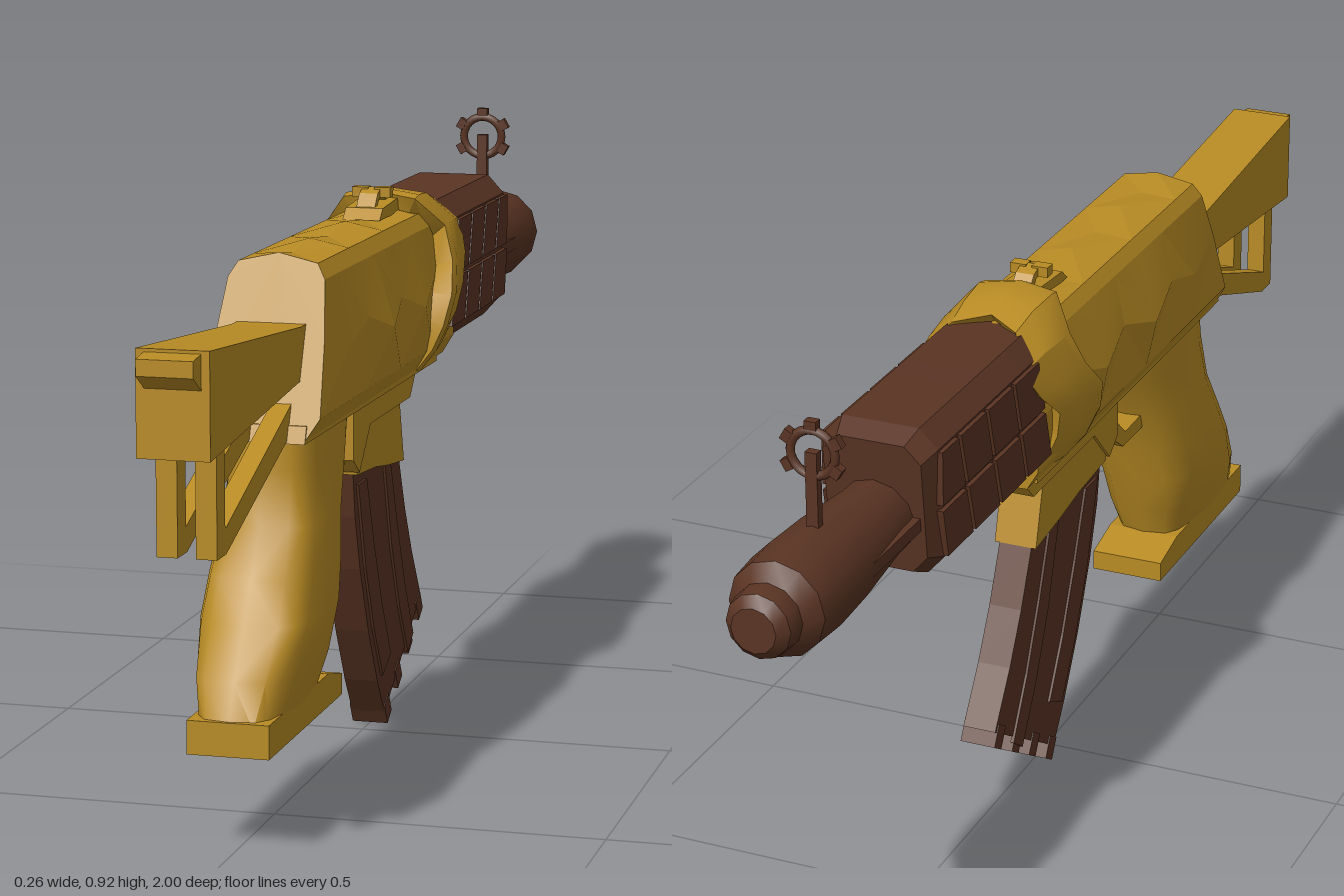
import * as THREE from 'three';
import { toCreasedNormals } from 'three/addons/utils/BufferGeometryUtils.js';

// Closed skin through rings of [x, y, z] points, capped at both ends
function loft(rings, crease) {
  const n = rings[0].length, pos = rings.flat(2), idx = [];
  for (let i = 0; i < rings.length - 1; i++) {
    for (let j = 0; j < n; j++) {
      const a = i * n + j, b = i * n + (j + 1) % n, c = a + n, d = b + n;
      // alternate the diagonals for a faceted zigzag
      if (i % 2) idx.push(a, b, d, a, d, c);
      else idx.push(a, b, c, b, d, c);
    }
  }
  const last = (rings.length - 1) * n;
  for (let j = 1; j < n - 1; j++) idx.push(0, j + 1, j, last, last + j, last + j + 1);
  // turn the faces outward using the signed volume
  const p = (i) => new THREE.Vector3().fromArray(pos, i * 3);
  let volume = 0;
  for (let k = 0; k < idx.length; k += 3) volume += p(idx[k]).dot(p(idx[k + 1]).cross(p(idx[k + 2])));
  if (volume < 0) idx.reverse();
  const g = new THREE.BufferGeometry();
  g.setAttribute('position', new THREE.Float32BufferAttribute(pos, 3));
  g.setIndex(idx);
  return toCreasedNormals(g, crease);
}

// Side outline of [z, y] points, extruded across x
function sideGeo(pts, width, x = 0) {
  const shape = new THREE.Shape(pts.map(([z, y]) => new THREE.Vector2(z, y)));
  const g = new THREE.ExtrudeGeometry(shape, { depth: width, bevelEnabled: false });
  return g.rotateY(-Math.PI / 2).translate(x + width / 2, 0, 0);
}

// Half section (x >= 0, top to bottom, both ends on x = 0) mirrored to a full ring
const mirrorRing = (half) => [...half, ...half.slice(1, -1).reverse().map(([x, y, z]) => [-x, y, z])];

export function createModel() {
  const model = new THREE.Group();
  const gold = new THREE.MeshStandardMaterial({ color: 0xb88b24 });
  gold.name = 'gold';
  const brown = new THREE.MeshStandardMaterial({ color: 0x5a3423 });
  brown.name = 'brown';
  const add = (name, geo, mat) => {
    const m = new THREE.Mesh(geo, mat);
    m.name = name;
    model.add(m);
    return m;
  };
  const box = (name, w, h, d, x, y, z, mat) =>
    add(name, new THREE.BoxGeometry(w, h, d).translate(x, y, z), mat);

  // Receiver: wavy faceted body with a slanted rear
  const stations = [[0.57, 0.082], [0.42, 0.09], [0.3, 0.092], [0.2, 0.105], [0.1, 0.09], [0, 0.103], [-0.1, 0.09], [-0.24, 0.09]];
  add('receiver', loft(stations.map(([z, w], i) => {
    const half = [[0, i % 2 ? 0.825 : 0.835], [0.06, 0.822], [0.073, 0.8], [w, i % 2 ? 0.69 : 0.72],
      [0.088, 0.61], [0.07, 0.58], [0, 0.578]];
    const lean = i === 0 ? 0.42 : i === 1 ? 0.12 : 0;
    return mirrorRing(half.map(([x, y]) => [x, y, z - lean * (y - 0.58)]));
  }), 0.1), gold);
  add('receiverLip', sideGeo([[0.575, 0.575], [0.565, 0.6], [-0.2, 0.595], [-0.2, 0.572]], 0.14), gold);

  // Collar: flared shell gripping the handguard, ragged front edge
  const collar = [ // x, y, rear z, front z
    [0, 0.862, -0.1, -0.21], [0.06, 0.852, -0.1, -0.24], [0.1, 0.805, -0.14, -0.29],
    [0.118, 0.75, -0.12, -0.26], [0.128, 0.7, -0.075, -0.21], [0.118, 0.65, -0.06, -0.2],
    [0.1, 0.61, -0.06, -0.2], [0.07, 0.572, -0.07, -0.2], [0, 0.568, -0.09, -0.19]];
  const collarRing = (sx, sy, mix, off) => mirrorRing(collar.map(([x, y, r, f]) =>
    [x * sx, 0.7 + (y - 0.7) * sy, r + (f - r) * mix + off]));
  add('collar', loft([collarRing(0.7, 0.75, 0, -0.01), collarRing(0.98, 0.97, 0, 0), collarRing(1, 1, 0.15, 0),
    collarRing(0.93, 0.97, 0.6, 0), collarRing(0.87, 0.88, 1, 0), collarRing(0.7, 0.75, 1, 0.02)], 0.5), gold);

  // Handguard core with chamfered nose
  const guardRing = (z, s) => mirrorRing([[0, 0.83], [0.06, 0.83], [0.088, 0.8], [0.088, 0.625], [0.06, 0.593], [0, 0.593]]
    .map(([x, y]) => [x * s, 0.71 + (y - 0.71) * s, z - (y - 0.71) * 0.1 * (z < -0.5 ? 1 : 0)]));
  add('handguard', loft([guardRing(-0.17, 0.96), guardRing(-0.25, 1), guardRing(-0.585, 1), guardRing(-0.62, 0.87)], 0.3), brown);

  // Slanted raised pads on both sides of the handguard
  for (const s of [-1, 1]) {
    for (let c = 0; c < 4; c++) {
      for (const [y0, y1] of [[0.628, 0.705], [0.714, 0.797]]) {
        const z = (y, k) => -0.2 - (c + k) * 0.096 - (y - 0.628) * 0.28;
        const pad = [[z(y0, 0.04), y0], [z(y0, 0.95), y0], [z(y1, 0.95), y1], [z(y1, 0.04), y1]]
          .map(([a, b]) => [Math.max(a, -0.595), b]);
        add('handguardPad', sideGeo(pad, 0.012, s * 0.089), brown);
      }
    }
  }

  // Barrel and muzzle
  const barrel = [[0, 0.58], [0.06, 0.58], [0.062, 0.66], [0.073, 0.78], [0.077, 0.87], [0.073, 0.93],
    [0.052, 0.955], [0.052, 0.965], [0.049, 0.985], [0.034, 1], [0, 1]].map(([r, h]) => new THREE.Vector2(r, h));
  add('barrel', toCreasedNormals(new THREE.LatheGeometry(barrel, 12).rotateX(-Math.PI / 2).translate(0, 0.69, 0), 0.6), brown);
  for (const s of [-1, 1]) box('barrelRail', 0.012, 0.02, 0.26, s * 0.064, 0.69, -0.74, brown);

  // Front sight: toothed ring on a post
  box('frontSightPost', 0.018, 0.13, 0.014, 0, 0.81, -0.81, brown);
  add('frontSightRing', new THREE.TorusGeometry(0.034, 0.007, 6, 24).translate(0, 0.872, -0.81), brown);
  for (let i = 0; i < 6; i++) {
    const tooth = new THREE.BoxGeometry(0.018, 0.013, 0.014).translate(0, 0.043, 0);
    add('frontSightTooth', tooth.rotateZ(i * Math.PI / 3).translate(0, 0.872, -0.81), brown);
  }

  // Rear sight
  add('rearSightBase', sideGeo([[0.01, 0.825], [-0.01, 0.842], [-0.1, 0.848], [-0.11, 0.825]], 0.06), gold);
  add('rearSightArch', sideGeo([[-0.015, 0.84], [-0.035, 0.862], [-0.06, 0.87], [-0.085, 0.862], [-0.105, 0.84],
    [-0.09, 0.84], [-0.075, 0.853], [-0.045, 0.853], [-0.03, 0.84]], 0.03), gold);
  for (const s of [-1, 1]) box('rearSightEar', 0.026, 0.016, 0.02, s * 0.018, 0.862, -0.06, gold);

  // Stock wedge, butt plate and twin braces
  add('stock', sideGeo([[0.45, 0.66], [0.45, 0.738], [0.53, 0.738], [0.965, 0.772], [0.965, 0.622], [0.53, 0.66]], 0.104), gold);
  add('buttPlate', sideGeo([[0.96, 0.715], [1, 0.74], [1, 0.763], [0.96, 0.768]], 0.08), gold);
  for (const s of [-1, 1]) {
    add('stockBrace', sideGeo([[0.91, 0.635], [0.91, 0.476], [0.868, 0.476], [0.54, 0.59], [0.54, 0.632],
      [0.872, 0.512], [0.872, 0.635]], 0.03, s * 0.028), gold);
  }

  // Grip: rounded swelling sections, flat foot
  const gripRows = [[0.6, 0.55, 0.25, 0.064], [0.53, 0.55, 0.29, 0.069], [0.45, 0.57, 0.335, 0.074], [0.38, 0.612, 0.36, 0.082],
    [0.32, 0.652, 0.378, 0.085], [0.25, 0.7, 0.4, 0.077], [0.19, 0.73, 0.42, 0.061]];
  const soft = (v) => Math.sign(v) * Math.abs(v) ** 0.55;
  add('grip', loft(gripRows.map(([y, zb, zf, w]) => Array.from({ length: 16 }, (_, i) => {
    const a = i * Math.PI / 8;
    return [w * soft(Math.sin(a)), y, (zb + zf) / 2 + (zb - zf) / 2 * soft(Math.cos(a))];
  })), 0.8), gold);
  add('gripFoot', sideGeo([[0.73, 0.15], [0.73, 0.2], [0.42, 0.2], [0.345, 0.183], [0.345, 0.15]], 0.122), gold);

  // Trigger guard and trigger
  add('triggerGuard', sideGeo([[0.36, 0.43], [0.26, 0.43], [0.19, 0.48], [0.15, 0.48], [0.15, 0.515],
    [0.21, 0.505], [0.27, 0.453], [0.36, 0.455]], 0.05), gold);
  add('trigger', sideGeo([[0.25, 0.585], [0.22, 0.585], [0.235, 0.53], [0.262, 0.495], [0.268, 0.505], [0.25, 0.54]], 0.02), gold);

  // Magazine well
  add('magazineWell', sideGeo([[0.2, 0.59], [0.2, 0.48], [0.165, 0.455], [0.1, 0.52], [-0.145, 0.52],
    [-0.195, 0.57], [-0.195, 0.59]], 0.08), gold);
  add('magazineCuff', sideGeo([[0.17, 0.57], [0.162, 0.45], [0.05, 0.442], [-0.03, 0.43], [-0.125, 0.42],
    [-0.095, 0.53], [-0.09, 0.57]], 0.07), gold);

  // Curved magazine with side ribs and floor studs
  add('magazine', sideGeo([[0.158, 0.46], [0.145, 0.38], [0.115, 0.29], [0.065, 0.18], [0.01, 0.085], [-0.035, 0.022],
    [-0.268, 0.165], [-0.21, 0.25], [-0.165, 0.33], [-0.12, 0.43]], 0.054), brown);
  for (const s of [-1, 1]) {
    for (const [o, w] of [[-0.01, 0.05], [-0.17, 0.035]]) {
      add('magazineRib', sideGeo([[0.148 + o, 0.43], [0.105 + o, 0.29], [0.055 + o, 0.18], [o, 0.09],
        [o - w, 0.115], [0.055 + o - w, 0.21], [0.105 + o - w, 0.32], [0.148 + o - w, 0.43]], 0.006, s * 0.028), brown);
    }
  }
  for (const t of [0, 0.29, 0.58, 0.87]) {
    const at = (k, d) => [-0.033 - 0.233 * k - 0.0105 * d, 0.025 + 0.143 * k - 0.018 * d];
    add('magazineStud', sideGeo([at(t, -0.5), at(t, 1.3), at(t + 0.11, 1.3), at(t + 0.11, -0.5)], 0.058), brown);
  }
  return model;
}
